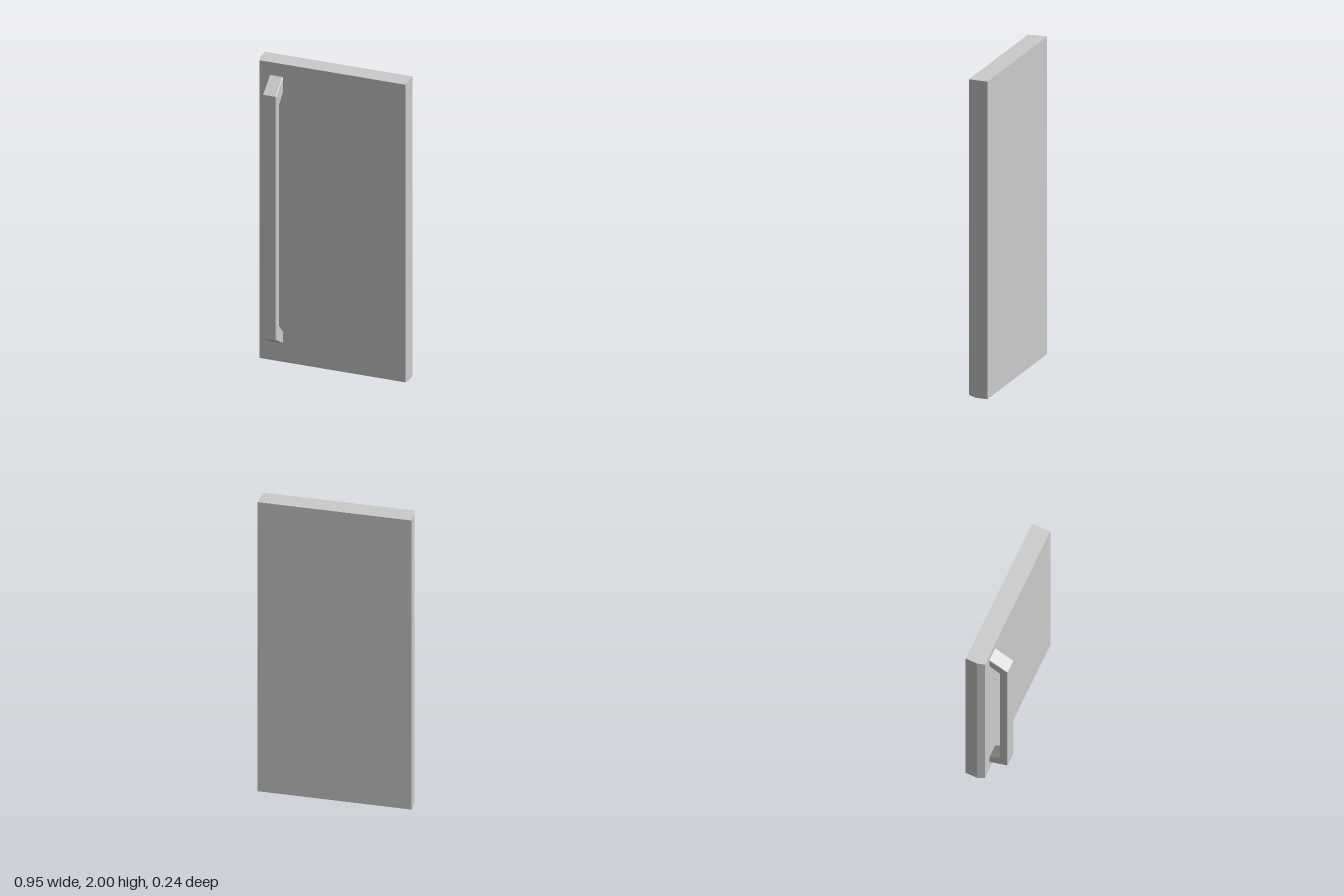
import * as THREE from 'three';

const material = new THREE.MeshStandardMaterial({ color: 0xcccccc, flatShading: true });

// Door slab whose left and bottom front edges are slightly eased
function createPanel() {
  const halfWidth = 0.473, height = 2, depth = 0.12, ease = 0.013, easeZ = -0.045;
  const box = new THREE.BoxGeometry(halfWidth * 2, height, depth, 1, 1, 2);
  box.translate(0, height / 2, -depth / 2);
  const p = box.attributes.position;
  for (let i = 0; i < p.count; i++) {
    const z = p.getZ(i);
    if (z > -0.01) {
      if (p.getX(i) < 0) p.setX(i, -halfWidth + ease);
      if (p.getY(i) < 1) p.setY(i, ease);
    } else if (z > -depth + 0.01) {
      p.setZ(i, easeZ);
    }
  }
  const geometry = box.toNonIndexed();
  geometry.computeVertexNormals();
  const panel = new THREE.Mesh(geometry, material);
  panel.name = 'doorPanel';
  return panel;
}

// Long pull handle: a side profile in (z, y), extruded across x with fine bevels
function createHandle() {
  const width = 0.087, bevel = 0.004;
  const profile = [
    [-0.01, 0.129], [0.12, 0.21], [0.12, 1.837], [-0.01, 1.921],
    [-0.01, 1.82], [0.07, 1.757], [0.07, 0.293], [-0.01, 0.205],
  ].map(([z, y]) => new THREE.Vector2(z, y));
  const geometry = new THREE.ExtrudeGeometry(new THREE.Shape(profile), {
    depth: width - bevel * 2,
    bevelEnabled: true,
    bevelSegments: 1,
    bevelThickness: bevel,
    bevelSize: bevel,
    bevelOffset: -bevel,
  });
  geometry.translate(0, 0, -(width / 2 - bevel));
  geometry.rotateY(-Math.PI / 2);
  const handle = new THREE.Mesh(geometry, material);
  handle.name = 'pullHandle';
  handle.position.x = -0.3525;
  return handle;
}

export function createModel() {
  const group = new THREE.Group();
  group.name = 'cabinetDoor';
  group.add(createPanel(), createHandle());
  return group;
}
